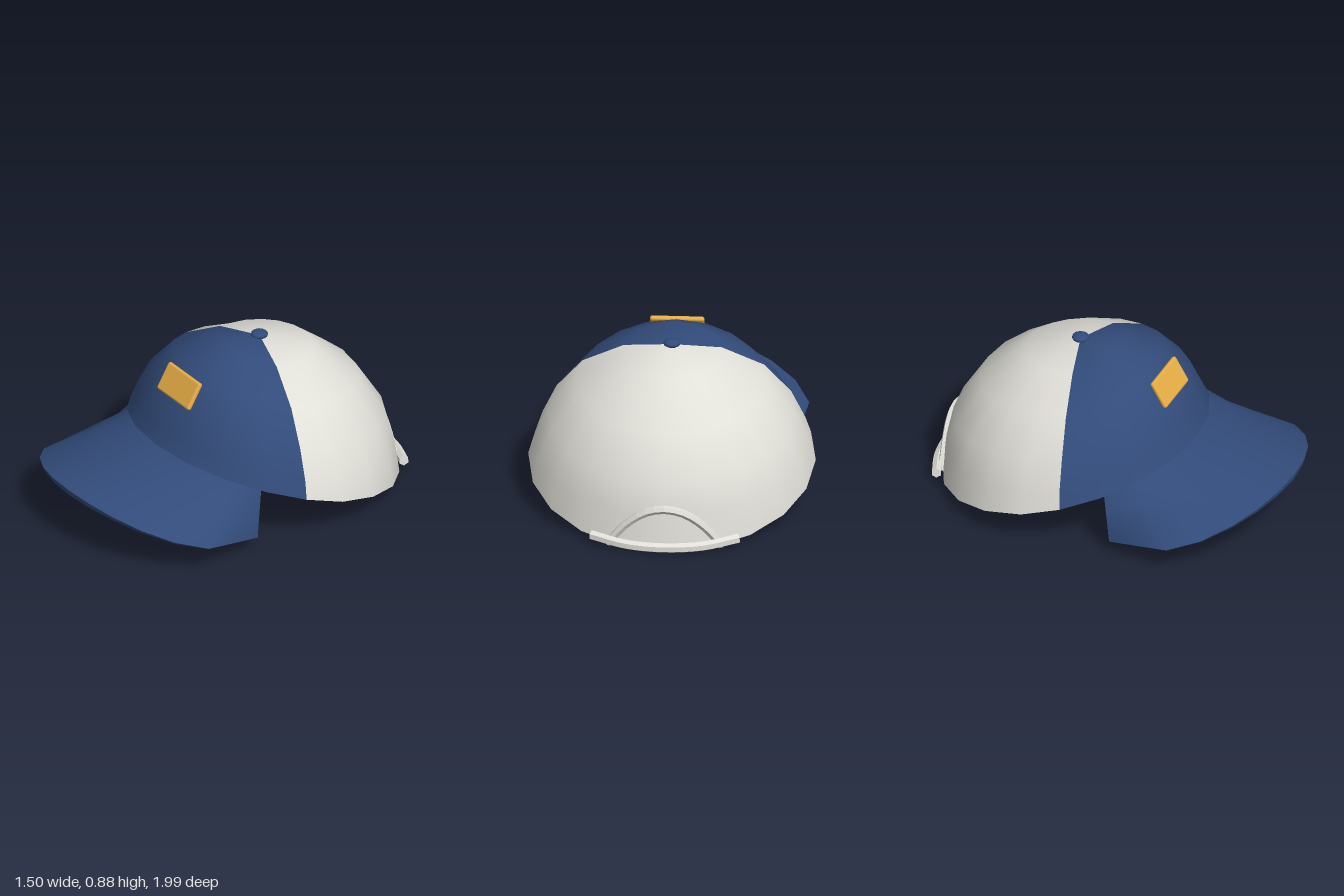
import * as THREE from 'three';
import { toCreasedNormals } from 'three/addons/utils/BufferGeometryUtils.js';
import { RoundedBoxGeometry } from 'three/addons/geometries/RoundedBoxGeometry.js';

const V = (x, y, z) => new THREE.Vector3(x, y, z);
const paint = (color) => new THREE.MeshStandardMaterial({ color });
const blue = paint(0x324b7a), pale = paint(0xe0dfd8), gold = paint(0xe8ae45);
const CZ = -0.23; // depth of the crown axis

// Closed thin shell between two matching grids of points
function shell(outer, inner) {
  const pos = [];
  const tri = (a, b, c) => {
    if (a.distanceTo(b) < 1e-5 || b.distanceTo(c) < 1e-5 || c.distanceTo(a) < 1e-5) return;
    pos.push(...a.toArray(), ...b.toArray(), ...c.toArray());
  };
  const quad = (a, b, c, d) => { tri(a, b, c); tri(a, c, d); };
  const m = outer.length - 1, n = outer[0].length - 1;
  for (let i = 0; i < m; i++) for (let j = 0; j < n; j++) {
    quad(outer[i][j], outer[i][j + 1], outer[i + 1][j + 1], outer[i + 1][j]);
    quad(inner[i][j], inner[i + 1][j], inner[i + 1][j + 1], inner[i][j + 1]);
  }
  const loop = [];
  for (let j = 0; j < n; j++) loop.push([0, j]);
  for (let i = 0; i < m; i++) loop.push([i, n]);
  for (let j = n; j > 0; j--) loop.push([m, j]);
  for (let i = m; i > 0; i--) loop.push([i, 0]);
  loop.forEach(([i, j], k) => {
    const [p, q] = loop[(k + 1) % loop.length];
    quad(outer[p][q], outer[i][j], inner[i][j], inner[p][q]);
  });
  const g = new THREE.BufferGeometry();
  g.setAttribute('position', new THREE.Float32BufferAttribute(pos, 3));
  return toCreasedNormals(g, 0.9);
}

// Crown rings: side, front and back radius; side, front and back height; front rise power
const rings = [
  [0, 0, 0, 0.86, 0.86, 0.86, 1],
  [0.27, 0.23, 0.29, 0.8, 0.885, 0.787, 1.5],
  [0.50, 0.43, 0.53, 0.668, 0.8, 0.59, 1.5],
  [0.645, 0.56, 0.67, 0.488, 0.65, 0.36, 1.3],
  [0.722, 0.622, 0.70, 0.315, 0.5, 0.2, 1.1],
  [0.752, 0.663, 0.72, 0.212, 0.423, 0.005, 1],
];
function crownPoint([rx, rf, rb, side, front, back, power], deg, inset = 0) {
  const a = THREE.MathUtils.degToRad(deg), s = Math.sin(a), k = 1 - inset / 0.75;
  const y = s > 0 ? side + (front - side) * s ** power : side - (back - side) * s;
  return V(rx * k * Math.cos(a), y, CZ + (s > 0 ? rf : rb) * k * s);
}
// Part of the crown from a given ring to the rim, between two insets
function crownSheet(first, from, to, outset, inset) {
  const steps = Math.round((to - from) / 18);
  const grid = (d) => rings.slice(first).map((ring, i) => Array.from({ length: steps + 1 }, (_, j) => {
    const p = crownPoint(ring, from + j * 18, d);
    p.y -= d * 0.9 * (1 - (i + first) / 5);
    return p;
  }));
  return shell(grid(outset), grid(inset));
}

// Visor: straight loft from the crown rim to a drooping outer edge
function visor() {
  const half = [
    [0.605, 0.075, 0.21], [0.642, 0.122, 0.4], [0.672, 0.163, 0.57], [0.59, 0.215, 0.73],
    [0.46, 0.265, 0.85], [0.32, 0.305, 0.93], [0.16, 0.333, 0.98], [0, 0.342, 0.995],
  ];
  const edge = [...half, ...half.slice(0, -1).reverse().map(([x, y, z]) => [-x, y, z])];
  const top = [0, 1, 2, 3].map((i) => edge.map((e, j) =>
    crownPoint(rings[5], 38 + j * 104 / 14, 0.02).lerp(V(...e), i / 3)));
  const under = top.map((row) => row.map((p) =>
    V(p.x * 0.97, p.y - 0.033 + 0.03 * Math.abs(p.x), p.z - 0.005)));
  return shell(top, under);
}

// Capped round bar along a mirrored path, given from the middle to one end
function bar(pts, radius) {
  const path = [...pts.slice(1).reverse().map(([x, y, z]) => V(-x, y, z)), ...pts.map((p) => V(...p))];
  const section = new THREE.Shape(Array.from({ length: 6 }, (_, i) =>
    new THREE.Vector2(radius * Math.cos(i * Math.PI / 3), radius * Math.sin(i * Math.PI / 3))));
  return new THREE.ExtrudeGeometry(section, {
    steps: 16, bevelEnabled: false, extrudePath: new THREE.CatmullRomCurve3(path),
  });
}

export function createModel() {
  const cap = new THREE.Group();
  cap.name = 'cap';
  const add = (name, geometry, material) => {
    const mesh = new THREE.Mesh(geometry, material);
    mesh.name = name;
    cap.add(mesh);
    return mesh;
  };

  add('frontPanel', crownSheet(0, 18, 162, 0, 0.045), blue);
  add('backPanel', crownSheet(0, 162, 378, 0, 0.045), pale);
  add('visor', visor(), blue);

  // Sweatbands lining the rim
  add('frontSweatband', crownSheet(4, 36, 144, 0.04, 0.053), blue);
  add('backSweatband', crownSheet(4, 180, 360, 0.04, 0.053), pale);

  // Button on the crown
  const button = add('topButton', new THREE.SphereGeometry(0.046, 12, 8), blue);
  button.scale.y = 0.45;
  button.position.set(0, 0.867, -0.23);

  // Plain badge leaning with the front panel
  const badge = add('frontBadge', new RoundedBoxGeometry(0.285, 0.158, 0.028, 2, 0.013), gold);
  badge.position.set(0, 0.725, 0.28);
  badge.rotation.x = -0.54;

  // Rear strap and the arch above it
  add('backStrap', bar([[0, 0.034, -0.973], [0.2, 0.039, -0.95], [0.385, 0.057, -0.882]], 0.027), pale);
  add('backArch', bar([[0, 0.24, -0.943], [0.1, 0.215, -0.933], [0.2, 0.14, -0.913], [0.3, 0.018, -0.89]], 0.022), pale);
  return cap;
}
